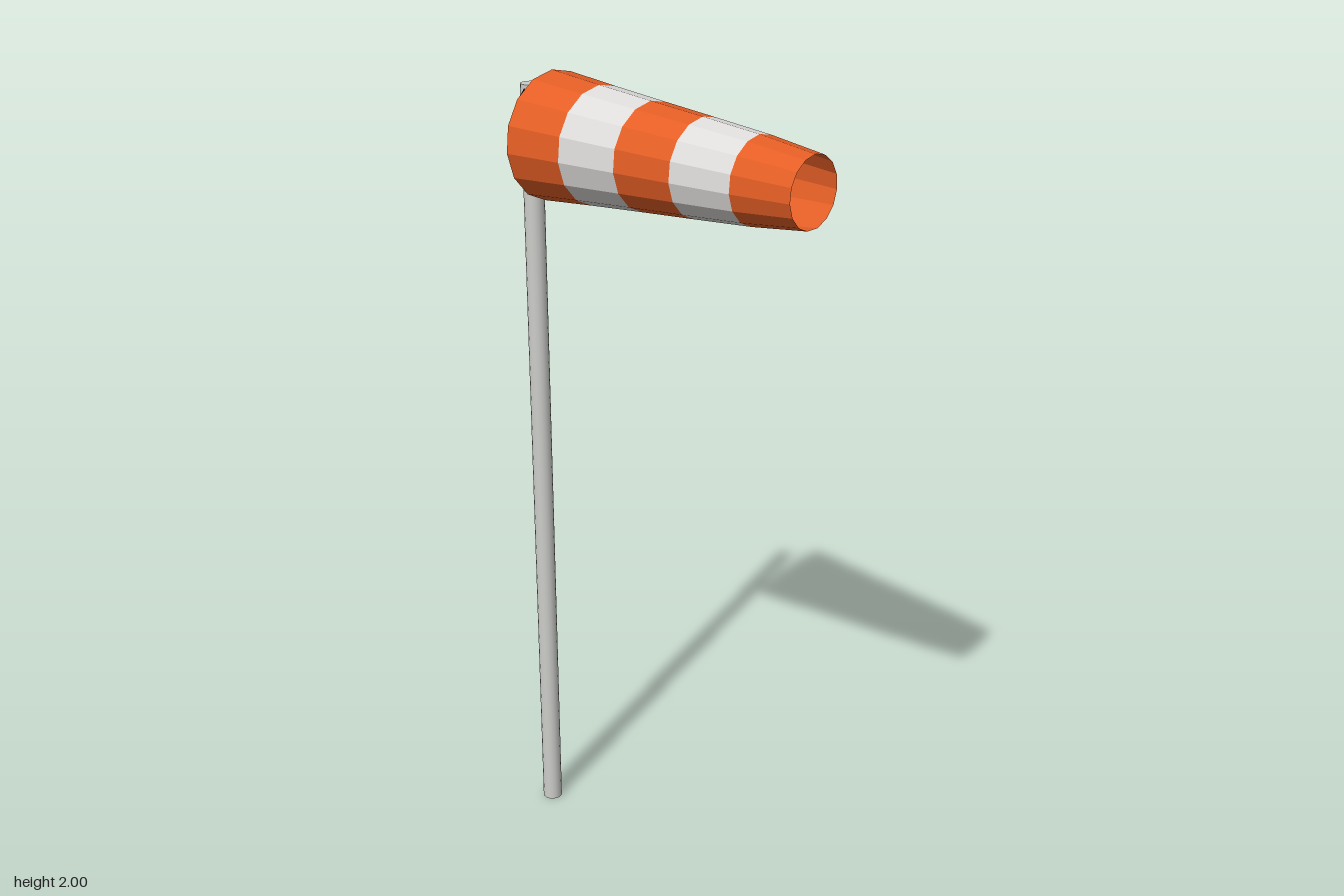
import * as THREE from 'three';

const material = (name, color, extra = {}) =>
  Object.assign(new THREE.MeshStandardMaterial({ color, ...extra }), { name });

export function createModel() {
  const open = { side: THREE.DoubleSide, flatShading: true };
  const orange = material('orange fabric', 0xe45e25, open);
  const white = material('white fabric', 0xdedcda, open);
  const metal = material('pole metal', 0xcdcdca);
  const cord = material('dark cord', 0x141414);

  const model = new THREE.Group();
  model.name = 'windsock';
  const add = (name, geometry, mat, parent = model) => {
    const mesh = new THREE.Mesh(geometry, mat);
    mesh.name = name;
    parent.add(mesh);
    return mesh;
  };

  // Upright pole
  const POLE_Z = -0.4;
  add('pole', new THREE.CylinderGeometry(0.025, 0.025, 1.96, 16), metal).position.set(0, 0.98, POLE_Z);

  // Tapered sock, open at both ends: one tube per stripe, from the wide mouth to the tip
  const sock = new THREE.Group();
  sock.name = 'sock';
  sock.position.y = 1.85;
  model.add(sock);
  const rings = [[-0.33, 0.15], [-0.182, 0.136], [-0.028, 0.123], [0.121, 0.111], [0.276, 0.098], [0.422, 0.08]];
  for (let i = 0; i < rings.length - 1; i++) {
    const [z0, r0] = rings[i];
    const [z1, r1] = rings[i + 1];
    const stripe = new THREE.CylinderGeometry(r1, r0, z1 - z0, 15, 1, true, Math.PI);
    stripe.rotateX(Math.PI / 2).translate(0, 0, (z0 + z1) / 2);
    add(`stripe${i + 1}`, stripe, i % 2 ? white : orange, sock);
  }

  // Four thin cords tie the mouth to the pole
  for (const side of [1, -1]) {
    const ties = [
      ['upperCord', [0.02, 1.95, POLE_Z], [0.11, 1.948, -0.33]],
      ['lowerCord', [0.02, 1.755, POLE_Z], [0.125, 1.782, -0.33]],
    ];
    for (const [name, a, b] of ties) {
      const path = new THREE.LineCurve3(
        new THREE.Vector3(a[0] * side, a[1], a[2]),
        new THREE.Vector3(b[0] * side, b[1], b[2]));
      add(`${side > 0 ? 'left' : 'right'} ${name}`, new THREE.TubeGeometry(path, 1, 0.0012, 5), cord);
    }
  }
  return model;
}
